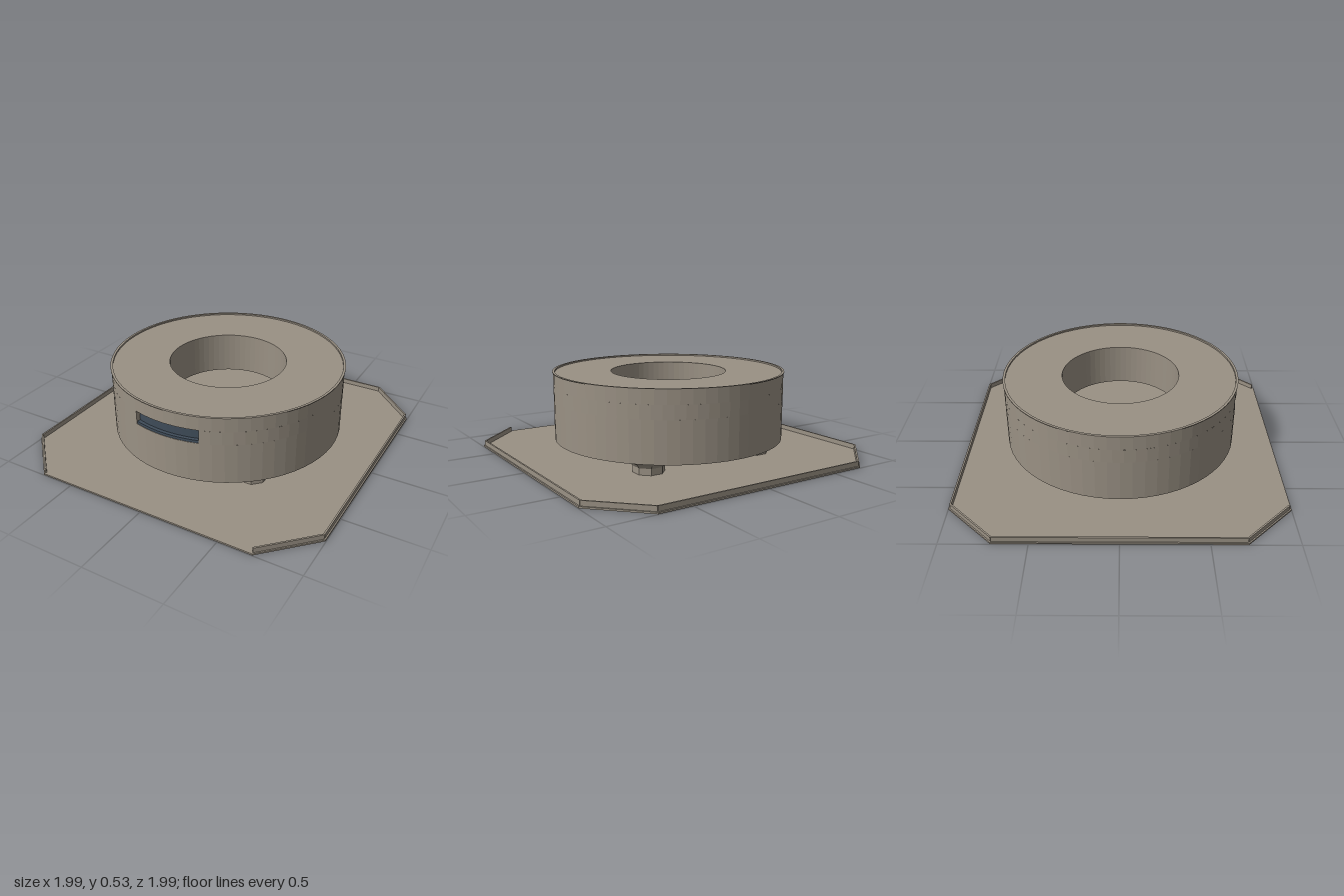
import * as THREE from 'three';

const clay = new THREE.MeshStandardMaterial({ color: 0x9a9184, side: THREE.DoubleSide });
clay.name = 'warm grey';
const slate = new THREE.MeshStandardMaterial({ color: 0x3f4c59, side: THREE.DoubleSide });
slate.name = 'slate blue';

export function createModel() {
  const group = new THREE.Group();

  // adds a mesh with faceted normals
  function add(name, geometry, material, x = 0, y = 0, z = 0, ry = 0) {
    const g = geometry.index ? geometry.toNonIndexed() : geometry;
    g.computeVertexNormals();
    const mesh = new THREE.Mesh(g, material);
    mesh.name = name;
    mesh.position.set(x, y, z);
    mesh.rotation.y = ry;
    group.add(mesh);
    return mesh;
  }
  const lathe = (points, start = 0, length = Math.PI * 2, segments = 64) =>
    new THREE.LatheGeometry(points.map(([r, y]) => new THREE.Vector2(r, y)), segments, start, length);

  // tray floor: a square with cut corners
  const octagon = (s, c) => [[-c, s], [-s, c], [-s, -c], [-c, -s], [c, -s], [s, -c], [s, c], [c, s]];
  const floorShape = new THREE.Shape(octagon(0.997, 0.71).map(([x, z]) => new THREE.Vector2(x, -z)));
  const floor = new THREE.ExtrudeGeometry(floorShape, { depth: 0.01, bevelEnabled: false });
  floor.rotateX(-Math.PI / 2);
  add('trayFloor', floor, clay);

  // low rim on every edge except the open front one
  const rim = octagon(0.984, 0.705);
  for (let i = 0; i < 7; i++) {
    const [x0, z0] = rim[i], [x1, z1] = rim[i + 1];
    const dx = x1 - x0, dz = z1 - z0;
    add('trayRim', new THREE.BoxGeometry(Math.hypot(dx, dz), 0.035, 0.01), clay,
      (x0 + x1) / 2, 0.0225, (z0 + z1) / 2, Math.atan2(-dz, dx));
  }

  // flared feet
  const foot = [[0, 0.01], [0.095, 0.01], [0.095, 0.05], [0.11, 0.07], [0.165, 0.1]];
  for (const sx of [-1, 1]) for (const sz of [-1, 1])
    add('foot', lathe(foot, Math.PI / 8, Math.PI * 2, 8), clay, sx * 0.39, 0, sz * 0.39);

  // central core under the drum
  add('core', new THREE.CylinderGeometry(0.36, 0.36, 0.09, 48), slate, 0, 0.055, 0);

  // drum, with a slot cut through its front
  const slot = Math.asin(0.21 / 0.73), low = 0.355, high = 0.44;
  add('drumBase', lathe([[0, 0.1], [0.73, 0.1], [0.73, low], [0.7, low], [0.7, 0.11], [0, 0.11]]), clay);
  add('drumWall', lathe([[0.73, low], [0.73, high]], slot, Math.PI * 2 - 2 * slot), clay);
  add('drumLining', lathe([[0.7, high], [0.7, low]]), clay);
  add('drumLid', lathe([[0.7, high], [0.73, high], [0.73, 0.525], [0.735, 0.525], [0.735, 0.53],
    [0.72, 0.53], [0.72, 0.52], [0.367, 0.52], [0.367, 0.26], [0.38, 0.26], [0.38, 0.5],
    [0.7, 0.5], [0.7, high]]), clay);
  for (const s of [-1, 1])
    add('slotCheek', new THREE.PlaneGeometry(0.03, high - low), clay,
      s * 0.715 * Math.sin(slot), (low + high) / 2, 0.715 * Math.cos(slot), s * slot + Math.PI / 2);

  // dark window and sill in the slot
  add('slotWindow', lathe([[0.705, low], [0.705, high]], -slot, 2 * slot, 8), slate);
  add('slotSill', lathe([[0.705, low], [0.727, low], [0.727, 0.372], [0.705, 0.372]],
    -slot, 2 * slot, 8), slate);

  // raised disc on the drum floor with a small pin
  add('floorDisc', new THREE.CylinderGeometry(0.16, 0.165, 0.02, 40), clay, 0.08, 0.12, -0.065);
  add('pin', new THREE.CylinderGeometry(0.01, 0.01, 0.01, 12), slate, 0.08, 0.134, -0.065);

  return group;
}
